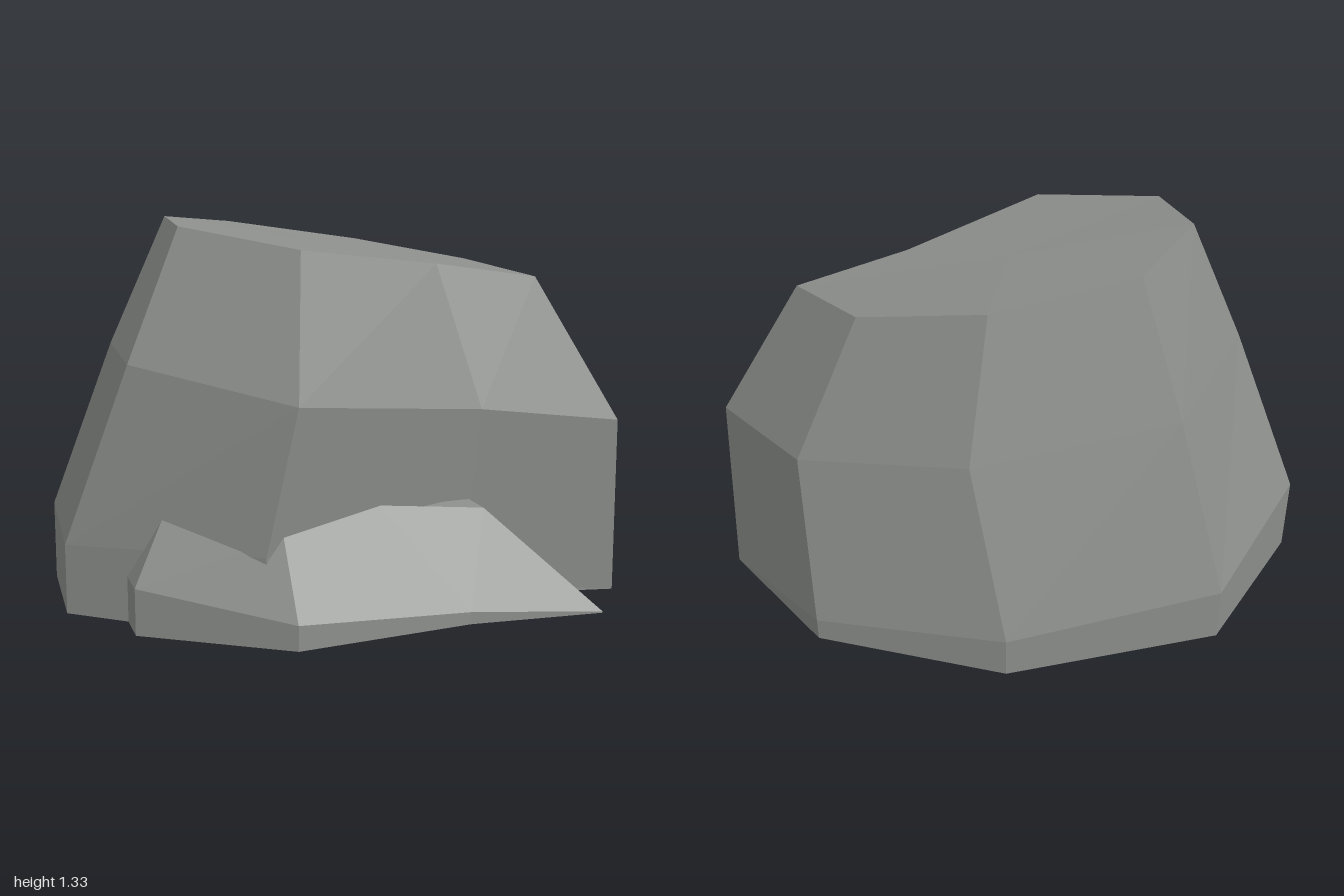
import * as THREE from 'three';

const stone = new THREE.MeshStandardMaterial({ color: 0x8b8e8a });
stone.name = 'grey stone';
stone.flatShading = true;

// Faceted rock from rings of [x, y, z] points, bottom to top, each clockwise from above
function rock(name, rings) {
  const pos = [];
  const tri = (a, b, c) => pos.push(...a, ...b, ...c);
  const n = rings[0].length;
  const centre = (ring, y) => {
    const c = [0, 0, 0];
    ring.forEach(p => p.forEach((v, k) => { c[k] += v / n; }));
    if (y !== undefined) c[1] = y;
    return c;
  };
  const bottom = rings[0], top = rings[rings.length - 1];
  const low = centre(bottom, 0.05), high = centre(top);
  for (let i = 0; i < n; i++) {
    const j = (i + 1) % n;
    for (let r = 0; r < rings.length - 1; r++) {
      const a = rings[r], b = rings[r + 1];
      tri(a[j], a[i], b[i]);
      tri(a[j], b[i], b[j]);
    }
    tri(low, bottom[i], bottom[j]);
    tri(high, top[j], top[i]);
  }
  const geometry = new THREE.BufferGeometry();
  geometry.setAttribute('position', new THREE.Float32BufferAttribute(pos, 3));
  geometry.computeVertexNormals();
  const mesh = new THREE.Mesh(geometry, stone);
  mesh.name = name;
  return mesh;
}

// Copy of a ring dropped to the ground
const footprint = ring => ring.map(([x, y, z]) => [x, Math.min(y, 0.05), z]);

export function createModel() {
  const group = new THREE.Group();
  group.name = 'rockFormation';

  // Tall boulder with a sloping flat top and a low pointed tip on its left
  const base = [
    [-1, 0.32, -0.07], [-0.69, 0.24, -0.55], [0.02, 0.19, -0.72], [0.65, 0.13, -0.55],
    [1, 0, -0.09], [0.43, 0.09, 0.15], [-0.2, 0.31, 0.62], [-0.87, 0.28, 0.36],
  ];
  const waist = [
    [-0.77, 0.9, 0], [-0.53, 0.85, -0.44], [0.13, 0.78, -0.58], [0.68, 0.7, -0.42],
    [0.985, 0.63, -0.02], [0.49, 0.7, 0.19], [-0.1, 0.77, 0.61], [-0.65, 0.87, 0.38],
  ];
  const crown = [
    [-0.58, 1.33, -0.03], [-0.39, 1.31, -0.34], [0.07, 1.245, -0.45], [0.47, 1.175, -0.34],
    [0.69, 1.125, -0.05], [0.34, 1.175, 0.1], [-0.1, 1.23, 0.41], [-0.5, 1.3, 0.24],
  ];
  group.add(rock('mainBoulder', [footprint(base), base, waist, crown]));

  // Low wedge of rock leaning against the front
  const wedgeBase = [
    [-0.67, 0.2, 0.4], [-0.1, 0.2, 0.1], [0.62, 0.09, 0.1], [0.88, 0.055, 0.34],
    [0.44, 0.09, 0.46], [-0.1, 0.13, 0.72], [-0.61, 0.2, 0.58],
  ];
  const wedgeTop = [
    [-0.6, 0.36, 0.38], [0.05, 0.36, 0.2], [0.45, 0.4, 0.21], [0.49, 0.39, 0.29],
    [0.15, 0.42, 0.39], [-0.15, 0.37, 0.59], [-0.53, 0.41, 0.47],
  ];
  group.add(rock('frontRock', [footprint(wedgeBase), wedgeBase, wedgeTop]));
  return group;
}
